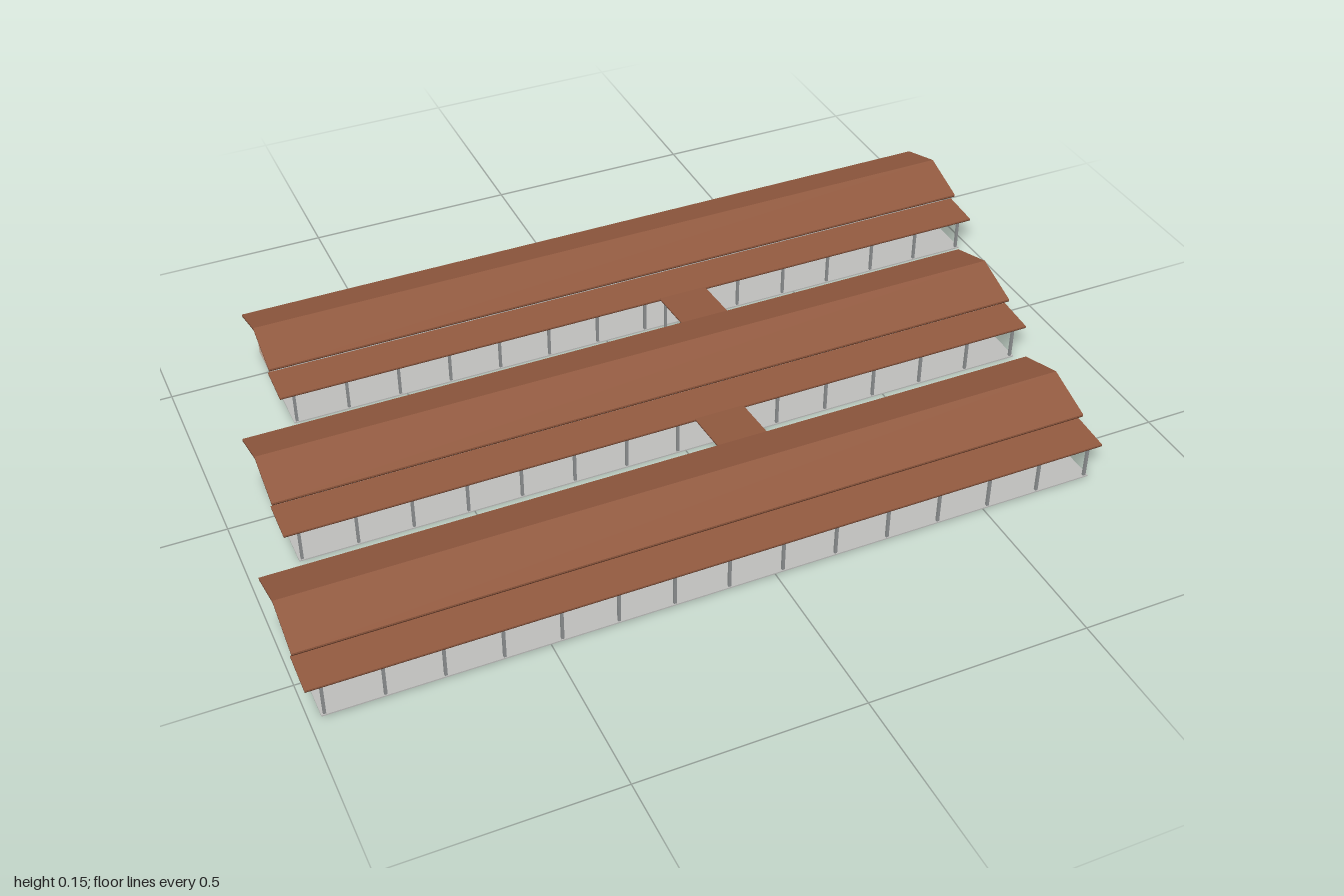
import * as THREE from 'three';

const mat = (name, color, side = THREE.FrontSide) => {
  const m = new THREE.MeshStandardMaterial({ color, side });
  m.name = name;
  return m;
};

export function createModel() {
  const M = {
    roof: mat('roof brown', 0x91593f),
    trim: mat('dark brown trim', 0x4e2c1e),
    wall: mat('pale grey wall', 0xcbcfcd),
    base: mat('tan wall base', 0xd3b7a3),
    floor: mat('concrete floor', 0xbcbcba),
    door: mat('light door', 0xdcdedd),
    post: mat('post grey', 0x8c8f90),
    unit: mat('dark unit', 0x3c4248),
  };
  const model = new THREE.Group();

  const box = (parent, name, m, w, h, d, x, y, z) => {
    const mesh = new THREE.Mesh(new THREE.BoxGeometry(w, h, d), m);
    mesh.name = name;
    mesh.position.set(x, y, z);
    parent.add(mesh);
    return mesh;
  };

  // Extrudes a (z, y) outline along x, centred
  const prism = (parent, name, m, pts, length) => {
    const shape = new THREE.Shape(pts.map(([z, y]) => new THREE.Vector2(-z, y)));
    const g = new THREE.ExtrudeGeometry(shape, { depth: length, bevelEnabled: false });
    g.translate(0, 0, -length / 2).rotateY(Math.PI / 2);
    const mesh = new THREE.Mesh(g, m);
    mesh.name = name;
    parent.add(mesh);
    return mesh;
  };

  // Sloping slab whose top runs from (z0, y0) to (z1, y1), over a dark lining
  const slab = (parent, name, length, z0, y0, z1, y1, t) => {
    const strip = (a, b) => [[z0, y0 - a], [z1, y1 - a], [z1, y1 - b], [z0, y0 - b]];
    return [
      prism(parent, name, M.roof, strip(0, t * 0.7), length),
      prism(parent, name + 'Lining', M.trim, strip(t * 0.7, t), length),
    ];
  };

  const LEN = 1.79, BODY = 1.74;

  // One long building, its ridge on local z = 0, porch toward +z
  const building = (name, x, z) => {
    const b = new THREE.Group();
    b.name = name;
    b.position.set(x, 0, z);
    model.add(b);

    box(b, 'floor', M.floor, BODY, 0.003, 0.295, 0, 0.0045, 0.0475);
    box(b, 'wallBase', M.base, BODY, 0.047, 0.2, 0, 0.0285, 0);
    prism(b, 'upperWalls', M.wall,
      [[-0.1, 0.052], [0.1, 0.052], [0.1, 0.109], [0, 0.143], [-0.1, 0.109]], BODY);

    // Gable roof and porch roof
    for (const s of [-1, 1]) slab(b, 'gableRoof', LEN, 0, 0.148, s * 0.116, 0.11, 0.006);
    slab(b, 'porchRoof', LEN, 0.1, 0.09, 0.195, 0.084, 0.005);

    // Porch posts
    for (let i = 0; i < 15; i++)
      box(b, 'porchPost', M.post, 0.006, 0.075, 0.006, -0.8625 + i * 0.1232, 0.0425, 0.19);

    // Doors on the porch side
    for (const dx of [-0.7, -0.2, 0.27, 0.5, 0.7])
      box(b, 'frontDoor', M.door, 0.035, 0.07, 0.004, dx, 0.041, 0.1);
    return b;
  };

  building('frontBuilding', -0.105, 0.41);
  const middle = building('middleBuilding', -0.02, -0.03);
  const back = building('backBuilding', 0.1, -0.48);

  // Covered walkways between the buildings
  const walkway = (x, z0, z1) => {
    const w = new THREE.Group();
    w.name = 'walkway';
    w.position.x = x;
    model.add(w);
    slab(w, 'walkwayRoof', 0.118, z0, 0.098, z1, 0.084, 0.004);
    return w;
  };
  walkway(0.08, 0.31, 0.16);
  const rear = walkway(0.198, -0.13, -0.29);
  for (const s of [-1, 1])
    box(rear, 'walkwayPost', M.post, 0.005, 0.083, 0.005, s * 0.055, 0.0415, -0.265);

  // Back doors opening onto the walkways and the rear yard
  box(model, 'backDoor', M.door, 0.07, 0.08, 0.004, 0.08, 0.046, 0.31);
  box(middle, 'backDoor', M.door, 0.07, 0.08, 0.004, 0.22, 0.046, -0.1);
  box(back, 'rearDoor', M.door, 0.1, 0.09, 0.004, 0.18, 0.051, -0.1);

  // Cooling units and window ledges on the rear wall
  for (const x of [-0.71, -0.665, -0.29, -0.17, -0.05, 0.065, 0.6, 0.795])
    box(back, 'coolingUnit', M.unit, 0.022, 0.014, 0.022, x - 0.1, 0.083, -0.111);
  for (const x of [-0.5, -0.38, -0.1, 0.18, 0.45, 0.7, 0.88])
    box(back, 'windowLedge', M.base, 0.06, 0.005, 0.006, x - 0.1, 0.075, -0.101);

  // Patches set into the underside of the rear floor
  for (const [x, z, w, d, m] of [
    [0.93, -0.5, 0.06, 0.08, M.base], [0.63, -0.45, 0.13, 0.06, M.base],
    [0.73, -0.555, 0.08, 0.04, M.trim], [0.12, -0.555, 0.2, 0.05, M.trim],
    [0.01, -0.48, 0.15, 0.06, M.base], [-0.68, -0.48, 0.06, 0.08, M.base],
  ]) box(back, 'floorPatch', m, w, 0.001, d, x - 0.1, 0.0025, z + 0.48);

  return model;
}
